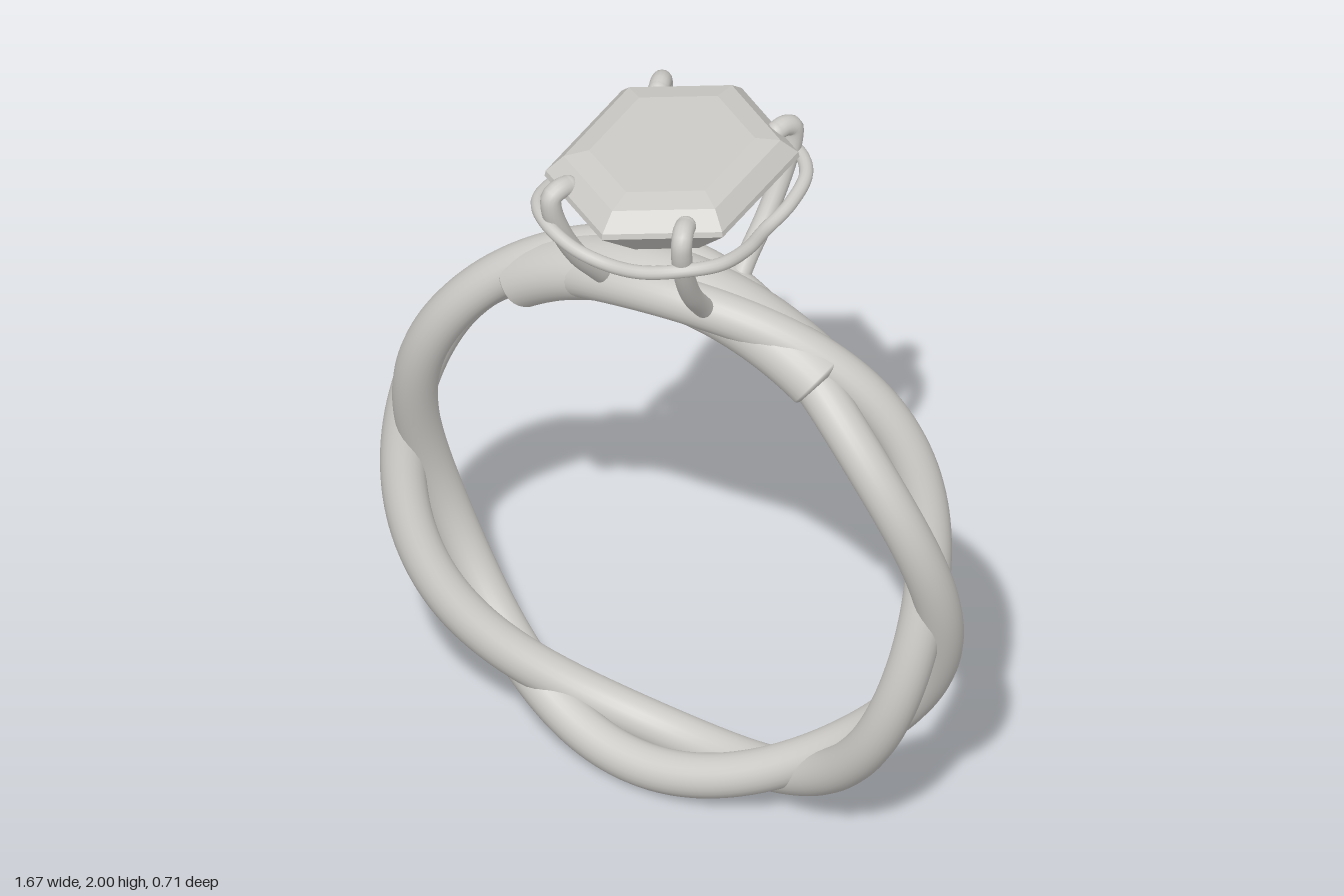
import * as THREE from 'three';
import { ConvexGeometry } from 'three/addons/geometries/ConvexGeometry.js';

const CENTER_Y = 0.82;
const RADIUS = 0.757;

// One strand of the twisted band: three half-turn pairs around the ring
class StrandCurve extends THREE.Curve {
  constructor(phase) {
    super();
    this.phase = phase;
  }
  getPoint(t, target = new THREE.Vector3()) {
    const a = t * Math.PI * 2;
    const twist = 3 * a + this.phase;
    const r = RADIUS + 0.02 * Math.cos(twist);
    return target.set(r * Math.cos(a), CENTER_Y + r * Math.sin(a), 0.075 * Math.sin(twist));
  }
}

export function createModel() {
  const root = new THREE.Group();
  const metal = new THREE.MeshStandardMaterial({ color: 0xcccac6 });
  metal.name = 'metal';
  const gem = new THREE.MeshStandardMaterial({ color: 0xcccac6, flatShading: true });
  gem.name = 'gem';

  const add = (name, geometry, material = metal, parent = root) => {
    const mesh = new THREE.Mesh(geometry, material);
    mesh.name = name;
    parent.add(mesh);
    return mesh;
  };

  // Twisted band
  [0, Math.PI].forEach((phase, i) => {
    add(`bandStrand${i + 1}`, new THREE.TubeGeometry(new StrandCurve(phase), 200, 0.058, 24, true));
  });

  // Solid sleeve joining the strands under the setting, with rounded ends
  const sleeve = new THREE.Group();
  sleeve.name = 'sleeve';
  sleeve.position.y = CENTER_Y;
  sleeve.scale.z = 1.16;
  root.add(sleeve);
  const start = THREE.MathUtils.degToRad(54.5);
  const arc = Math.PI - 2 * start;
  const body = add('sleeveBody', new THREE.TorusGeometry(0.742, 0.083, 28, 60, arc), metal, sleeve);
  body.rotation.z = start;
  for (const a of [start, Math.PI - start]) {
    const cap = add('sleeveEnd', new THREE.SphereGeometry(0.083, 28, 16), metal, sleeve);
    cap.position.set(0.742 * Math.cos(a), 0.742 * Math.sin(a), 0);
    cap.rotation.z = a;
    cap.scale.y = 0.25;
  }

  // Four claws rising from the sleeve and hooking over the stone
  const clawPath = [
    [0.15, 1.57, 0.07], [0.152, 1.62, 0.115], [0.165, 1.71, 0.19], [0.18, 1.82, 0.252],
    [0.19, 1.91, 0.282], [0.19, 1.945, 0.28], [0.18, 1.958, 0.255], [0.172, 1.955, 0.23],
  ];
  for (const sx of [-1, 1]) {
    for (const sz of [-1, 1]) {
      const claw = new THREE.Group();
      claw.name = `${sz > 0 ? 'front' : 'back'}${sx > 0 ? 'Left' : 'Right'}Claw`;
      root.add(claw);
      const pts = clawPath.map(([x, y, z]) => new THREE.Vector3(sx * x, y, sz * z));
      add('clawWire', new THREE.TubeGeometry(new THREE.CatmullRomCurve3(pts), 48, 0.027, 16), metal, claw);
      const tip = add('clawTip', new THREE.SphereGeometry(0.027, 16, 12), metal, claw);
      tip.position.copy(pts[pts.length - 1]);
    }
  }

  // Wavy gallery wire: one quarter mirrored into a closed loop
  const quarter = [
    [0, 1.828, 0.322], [0.1, 1.842, 0.322], [0.2, 1.864, 0.29],
    [0.265, 1.862, 0.22], [0.282, 1.845, 0.11], [0.27, 1.828, 0],
  ];
  const mirror = (list, sx, sz) => list.map(([x, y, z]) => new THREE.Vector3(sx * x, y, sz * z));
  const reversed = [...quarter].reverse();
  const loop = [
    ...mirror(quarter, 1, 1).slice(0, -1), ...mirror(reversed, 1, -1).slice(0, -1),
    ...mirror(quarter, -1, -1).slice(0, -1), ...mirror(reversed, -1, 1).slice(0, -1),
  ];
  add('galleryWire', new THREE.TubeGeometry(new THREE.CatmullRomCurve3(loop, true), 160, 0.018, 14, true));

  // Elongated hexagonal stone: scaled outlines at each facet level, and a point below
  const outline = [[0, 0.357], [0.26, 0.195], [0.26, -0.195], [0, -0.357], [-0.26, -0.195], [-0.26, 0.195]];
  const levels = [[2.0, 0.65], [1.987, 0.85], [1.945, 0.99], [1.93, 1], [1.79, 0.53]];
  const stonePoints = [new THREE.Vector3(0, 1.7, 0)];
  for (const [y, s] of levels) {
    for (const [x, z] of outline) stonePoints.push(new THREE.Vector3(x * s, y, z * s));
  }
  add('stone', new ConvexGeometry(stonePoints), gem);

  return root;
}
